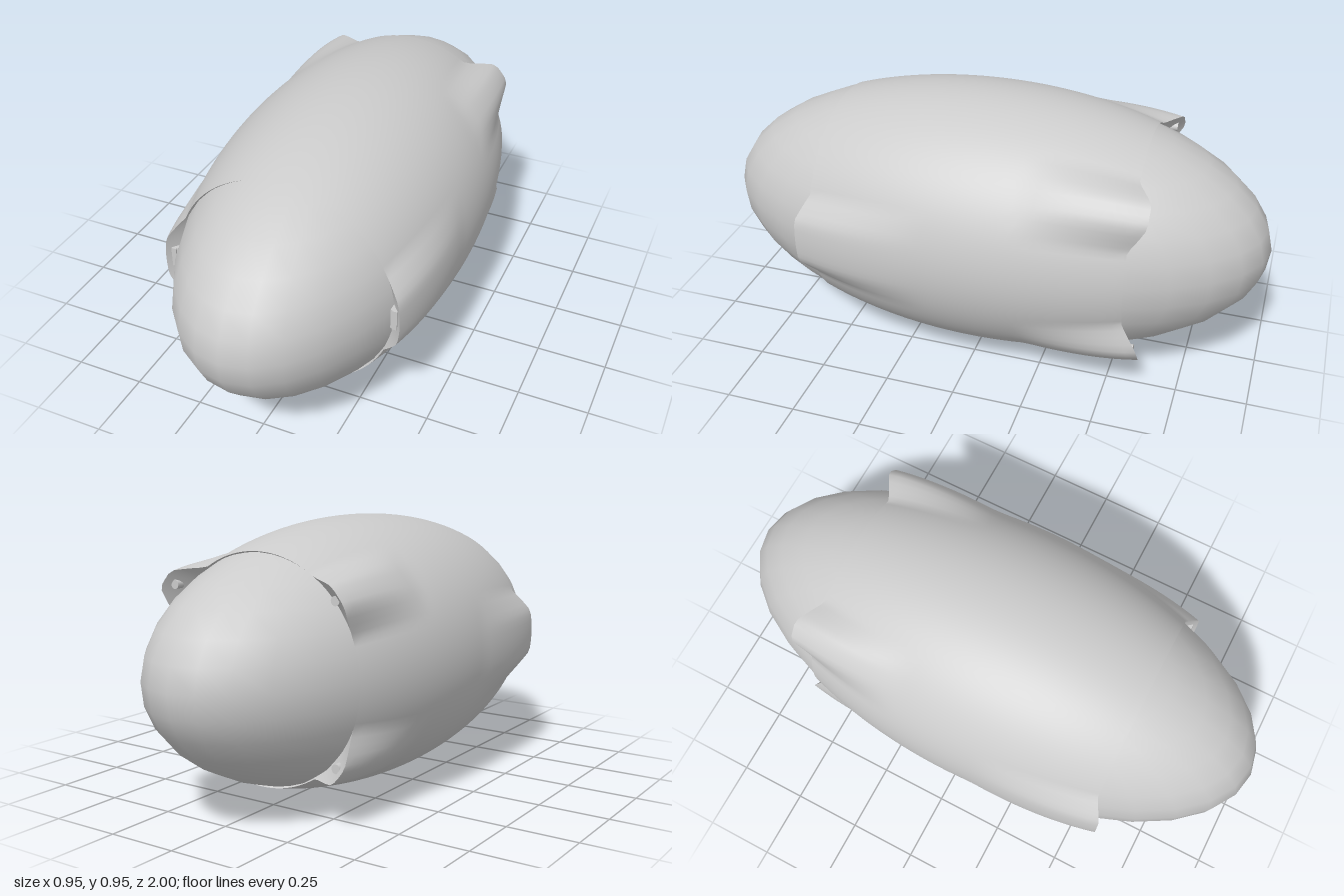
import * as THREE from 'three';

const R = 0.475, CY = 0.475, DEG = Math.PI / 180;
const ellipse = (z, r = R) => r * Math.sqrt(1 - z * z);
const ramp = (d, full, end) => THREE.MathUtils.clamp((end - d) / (end - full), 0, 1);

// how strongly the shell flares at an angle, folded into one quadrant
function flare(a) {
  const q = Math.atan2(Math.abs(Math.sin(a)), Math.abs(Math.cos(a))) / DEG;
  return { front: ramp(q, 11, 24), rear: ramp(Math.abs(q - 39), 5, 17) };
}
const frontZ = a => 0.56 + 0.04 * flare(a).front;
const rearZ = a => -0.56 - 0.06 * flare(a).rear;
function shellRadius(a, z) {
  const f = flare(a);
  return ellipse(z) + f.front * Math.max(0, z - 0.12) * 0.1
    + f.rear * Math.max(0, -z - 0.2) * 0.19;
}

// closed loft around z; point(angle, t) returns [radius, z]
function loft(point, rows, segs = 120) {
  const pos = [], idx = [];
  for (let j = 0; j <= rows; j++) {
    for (let i = 0; i < segs; i++) {
      const a = i / segs * Math.PI * 2;
      const [r, z] = point(a, j / rows);
      pos.push(r * Math.cos(a), r * Math.sin(a), z);
      if (j === rows) continue;
      const p = j * segs + i, q = j * segs + (i + 1) % segs;
      idx.push(p, q, p + segs, q, q + segs, p + segs);
    }
  }
  const g = new THREE.BufferGeometry();
  g.setAttribute('position', new THREE.Float32BufferAttribute(pos, 3));
  g.setIndex(idx);
  g.computeVertexNormals();
  return g;
}

export function createModel() {
  const group = new THREE.Group();
  const mat = new THREE.MeshStandardMaterial({ color: 0xcccccc, side: THREE.DoubleSide });
  const add = (name, geo, x = 0, y = 0, z = 0) => {
    const m = new THREE.Mesh(geo, mat);
    m.name = name;
    m.position.set(x, y + CY, z);
    group.add(m);
    return m;
  };

  // inner egg-shaped hull, split into canopy and belly
  const split = Math.acos(-0.472);
  add('canopy', new THREE.SphereGeometry(1, 32, 12, 0, Math.PI * 2, 0, split).scale(0.47, 0.47, 1));
  add('belly', new THREE.SphereGeometry(1, 32, 6, 0, Math.PI * 2, split, Math.PI - split).scale(0.47, 0.47, 1));

  // outer shell with two front scoops and four rear flares
  add('shell', loft((a, t) => {
    const z = THREE.MathUtils.lerp(rearZ(a), frontZ(a), t);
    return [shellRadius(a, z), z];
  }, 32));

  // end walls from the shell's rims down to the hull
  add('frontRim', loft((a, t) => {
    const z = frontZ(a);
    return t < 0.5 ? [shellRadius(a, z), z] : [ellipse(0.55, 0.465), 0.55];
  }, 1));
  add('rearRim', loft((a, t) => {
    const z = rearZ(a);
    return t > 0.5 ? [shellRadius(a, z), z] : [ellipse(0.55, 0.465), -0.55];
  }, 1));

  for (const sx of [-1, 1]) {
    // lamp in each front scoop
    add('frontLamp', new THREE.BoxGeometry(0.03, 0.075, 0.04), sx * 0.404, 0, 0.562);
    add('frontLampLens', new THREE.BoxGeometry(0.018, 0.075, 0.02), sx * 0.404, 0, 0.577);
    // thruster in each rear flare
    for (const sy of [-1, 1]) {
      const a = 39 * DEG, r = 0.422;
      add('rearThruster', new THREE.CylinderGeometry(0.016, 0.016, 0.05, 16).rotateX(Math.PI / 2),
        sx * r * Math.cos(a), sy * r * Math.sin(a), -0.575);
    }
  }
  return group;
}
